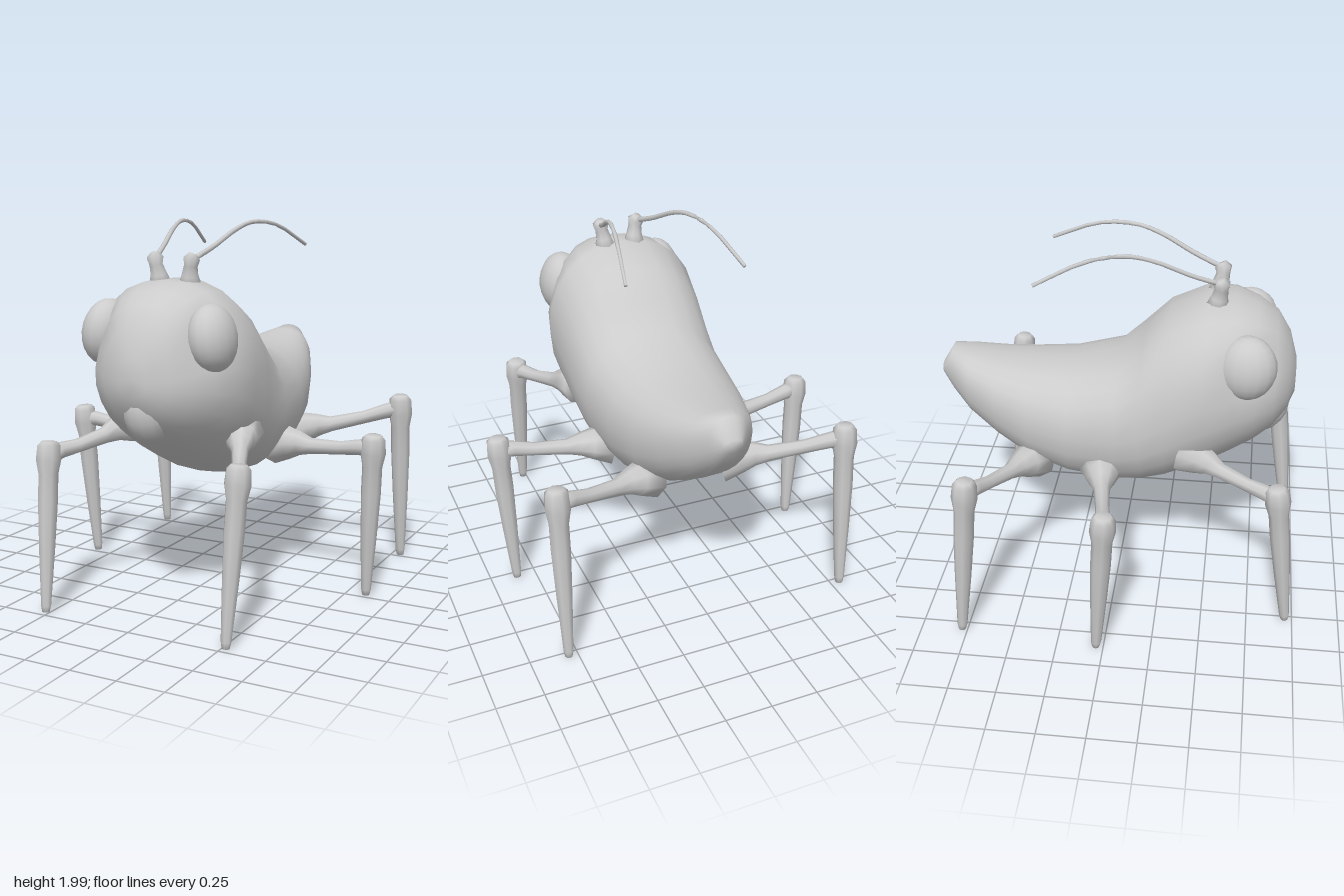
import * as THREE from 'three';

const material = new THREE.MeshStandardMaterial({ color: 0xcccccc });

// Skin a list of closed rings (arrays of Vector3, counterclockwise about the travel direction), with capped ends
function loft(rings) {
  const n = rings[0].length, pos = [], idx = [];
  rings.forEach(r => r.forEach(p => pos.push(p.x, p.y, p.z)));
  for (let i = 0; i < rings.length - 1; i++) {
    for (let j = 0; j < n; j++) {
      const a = i * n + j, b = i * n + (j + 1) % n;
      idx.push(a, b, a + n, b, b + n, a + n);
    }
  }
  [0, rings.length - 1].forEach(i => {
    const c = rings[i].reduce((s, p) => s.add(p), new THREE.Vector3()).divideScalar(n);
    const k = pos.length / 3;
    pos.push(c.x, c.y, c.z);
    for (let j = 0; j < n; j++) {
      const a = i * n + j, b = i * n + (j + 1) % n;
      if (i === 0) idx.push(k, b, a); else idx.push(k, a, b);
    }
  });
  const g = new THREE.BufferGeometry();
  g.setAttribute('position', new THREE.Float32BufferAttribute(pos, 3));
  g.setIndex(idx);
  g.computeVertexNormals();
  return g;
}

// Tapered limb through points [x, y, z, radius]
function limb(points, sides = 8) {
  const P = points.map(p => new THREE.Vector3(p[0], p[1], p[2]));
  const ref = new THREE.Vector3(0.15, 0.1, 1).normalize();
  const rings = P.map((c, i) => {
    const t = P[Math.min(i + 1, P.length - 1)].clone().sub(P[Math.max(i - 1, 0)]).normalize();
    const u = ref.clone().addScaledVector(t, -ref.dot(t)).normalize();
    const v = t.clone().cross(u);
    return Array.from({ length: sides }, (_, j) => {
      const a = j / sides * Math.PI * 2, r = points[i][3];
      return c.clone().addScaledVector(u, r * Math.cos(a)).addScaledVector(v, r * Math.sin(a));
    });
  });
  return loft(rings);
}

// Body sections: z, bottom, top, half width, height of the widest point
const SECTIONS = [
  [-0.98, 1.16, 1.23, 0.05, 1.2],
  [-0.92, 1.06, 1.33, 0.105, 1.2],
  [-0.82, 0.95, 1.315, 0.185, 1.15],
  [-0.66, 0.83, 1.295, 0.26, 1.08],
  [-0.48, 0.72, 1.29, 0.325, 1.02],
  [-0.26, 0.65, 1.3, 0.375, 0.99],
  [0, 0.62, 1.37, 0.4, 1.0],
  [0.13, 0.63, 1.5, 0.41, 1.04],
  [0.26, 0.665, 1.63, 0.42, 1.12],
  [0.46, 0.76, 1.715, 0.44, 1.25],
  [0.6, 0.84, 1.71, 0.41, 1.3],
  [0.72, 0.91, 1.67, 0.355, 1.3],
  [0.82, 0.99, 1.61, 0.285, 1.28],
  [0.89, 1.08, 1.5, 0.19, 1.26],
  [0.93, 1.17, 1.36, 0.08, 1.25],
];

function bodyGeometry() {
  const n = 24;
  return loft(SECTIONS.map(([z, bottom, top, w, mid]) => Array.from({ length: n }, (_, j) => {
    const a = j / n * Math.PI * 2, c = Math.cos(a), s = Math.sin(a);
    const y = mid + Math.sign(s) * Math.abs(s) ** 0.9 * (s > 0 ? top - mid : mid - bottom);
    // Eye sockets press the sides of the head inwards
    const dent = 0.2 * Math.exp(-(((z - 0.73) / 0.12) ** 2) - ((y - 1.46) / 0.14) ** 2);
    return new THREE.Vector3(Math.sign(c) * Math.abs(c) ** 0.86 * w * (1 - dent), y, z);
  })));
}

// Left side legs: hip, knee and foot positions
const LEGS = {
  front: { hip: [0.33, 0.92, 0.42], knee: [0.54, 0.82, 0.87], foot: [0.52, 0.01, 0.96] },
  middle: { hip: [0.35, 0.79, -0.07], knee: [0.895, 0.83, 0.01], foot: [0.855, 0.01, -0.04] },
  hind: { hip: [0.26, 0.78, -0.47], knee: [0.8, 0.91, -0.705], foot: [0.8, 0.01, -0.78] },
};

export function createModel() {
  const model = new THREE.Group();
  const add = (parent, name, geometry) => {
    const m = new THREE.Mesh(geometry, material);
    m.name = name;
    parent.add(m);
    return m;
  };

  add(model, 'body', bodyGeometry());

  // Snout
  const snout = add(model, 'snout', new THREE.SphereGeometry(1, 14, 10));
  snout.scale.set(0.12, 0.155, 0.115);
  snout.position.set(0, 1.065, 0.79);
  snout.rotation.x = 0.35;

  for (const side of [1, -1]) {
    const label = side > 0 ? 'left' : 'right';
    const at = p => [p[0] * side, ...p.slice(1)];

    // Bulging eye
    const eye = add(model, label + 'Eye', new THREE.SphereGeometry(1, 16, 12));
    eye.scale.set(0.118, 0.17, 0.155);
    eye.position.set(0.3 * side, 1.445, 0.67);
    eye.rotation.z = 0.12 * side;

    // Antenna: flared stalk and curved feeler
    const antenna = new THREE.Group();
    antenna.name = label + 'Antenna';
    model.add(antenna);
    add(antenna, 'stalk', limb([
      [0.085, 1.66, 0.5, 0.07], [0.09, 1.73, 0.51, 0.045], [0.1, 1.78, 0.52, 0.036],
      [0.105, 1.815, 0.52, 0.045], [0.11, 1.835, 0.51, 0.025],
    ].map(at)));
    const curve = new THREE.CatmullRomCurve3([
      [0.11, 1.815, 0.5], [0.145, 1.87, 0.36], [0.185, 1.95, 0.19], [0.215, 1.985, 0.05],
      [0.26, 1.965, -0.15], [0.318, 1.85, -0.41],
    ].map(p => new THREE.Vector3(...at(p))));
    add(antenna, 'feeler', limb(curve.getPoints(14).map((p, i) => [p.x, p.y, p.z, 0.014 - i * 0.0003]), 6));

    // Legs: flared hip into a thin thigh, knobbly knee, tapering shin
    for (const [name, { hip, knee, foot }] of Object.entries(LEGS)) {
      const leg = new THREE.Group();
      leg.name = label + name[0].toUpperCase() + name.slice(1) + 'Leg';
      model.add(leg);
      const between = (a, b, t, r, dy = 0) =>
        at([0, 1, 2].map(i => a[i] + (b[i] - a[i]) * t + (i === 1 ? dy : 0)).concat(r));
      add(leg, 'thigh', limb([
        between(hip, knee, -0.1, 0.12), between(hip, knee, 0.08, 0.088), between(hip, knee, 0.2, 0.064),
        between(hip, knee, 0.33, 0.043, -0.01), between(hip, knee, 0.65, 0.036, -0.01),
        between(hip, knee, 0.85, 0.042), between(hip, knee, 1, 0.05),
      ]));
      add(leg, 'shin', limb([
        between(knee, foot, -0.085, 0.042), between(knee, foot, -0.06, 0.062), between(knee, foot, 0.03, 0.068),
        between(knee, foot, 0.12, 0.053), between(knee, foot, 0.3, 0.053), between(knee, foot, 0.6, 0.043),
        between(knee, foot, 0.96, 0.027), between(knee, foot, 1, 0.02),
      ]));
    }
  }
  return model;
}
